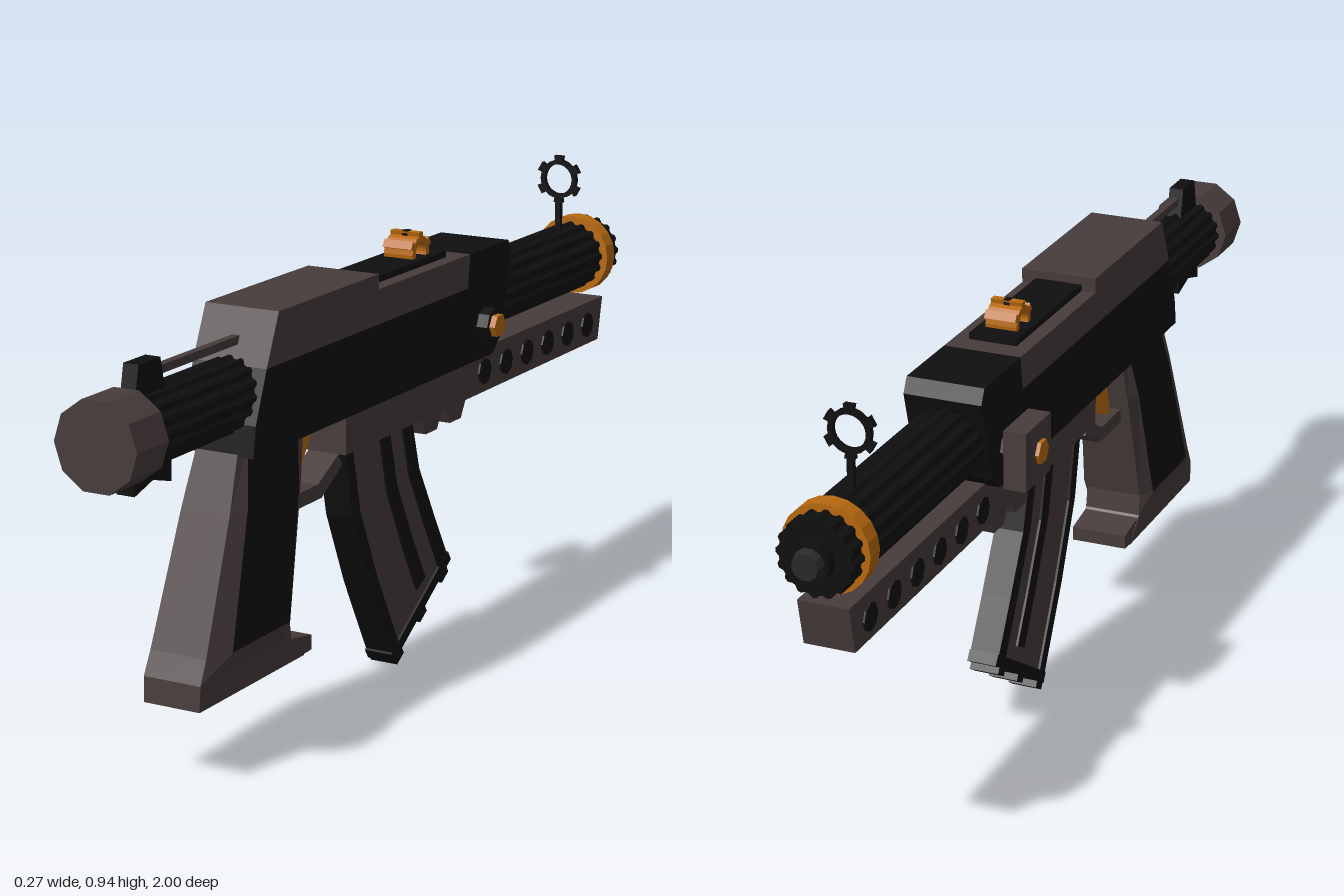
import * as THREE from 'three';

export function createModel() {
  const mat = (name, color) => new THREE.MeshStandardMaterial({ name, color, flatShading: true });
  const brown = mat('dark brown', 0x483c3c);
  const black = mat('black', 0x0e0f0e);
  const gold = mat('amber', 0xb8690f);
  const steel = mat('dark steel', 0x2a2828);

  const root = new THREE.Group();
  root.name = 'blaster';
  const gun = new THREE.Group();
  gun.name = 'blasterParts';
  gun.position.x = 0.0175; // side fittings are not symmetric
  root.add(gun);

  const AXIS = 0.705; // height of the barrel axis
  const add = (name, geo, material) => {
    const mesh = new THREE.Mesh(geo, material);
    mesh.name = name;
    gun.add(mesh);
    return mesh;
  };
  const toShape = (pts) => new THREE.Shape(pts.map(([a, b]) => new THREE.Vector2(a, b)));
  const extrude = (shape, depth) =>
    new THREE.ExtrudeGeometry(shape, { depth, bevelEnabled: false, curveSegments: 12 });

  // Side profile in [z, y], extruded across x from -half to +half
  const slab = (name, pts, half, material) =>
    add(name, extrude(toShape(pts), half * 2).rotateY(-Math.PI / 2).translate(half, 0, 0), material);
  const box = (name, x0, x1, y0, y1, z0, z1, material) =>
    add(name, new THREE.BoxGeometry(x1 - x0, y1 - y0, z1 - z0)
      .translate((x0 + x1) / 2, (y0 + y1) / 2, (z0 + z1) / 2), material);
  // Cylinder along z
  const drum = (name, r, z0, z1, sides, material, rEnd = r) =>
    add(name, new THREE.CylinderGeometry(r, rEnd, z1 - z0, sides)
      .rotateY(Math.PI / 2).rotateX(Math.PI / 2).translate(0, AXIS, (z0 + z1) / 2), material);
  // Cylinder along x
  const bolt = (name, r, x0, x1, y, z, sides, material) =>
    add(name, new THREE.CylinderGeometry(r, r, x1 - x0, sides)
      .rotateZ(Math.PI / 2).translate((x0 + x1) / 2, y, z), material);
  // Ribbed tube along z
  const ribbed = (name, r, z0, z1, material) => {
    const pts = [];
    const ribs = 16;
    for (let i = 0; i < ribs * 4; i++) {
      const a = (i / (ribs * 4)) * Math.PI * 2;
      const rad = i % 4 < 2 ? r : r * 0.92;
      pts.push([Math.cos(a) * rad, Math.sin(a) * rad]);
    }
    add(name, extrude(toShape(pts), z1 - z0).translate(0, AXIS, z0), material);
  };
  // Ring with six studs, facing z
  const studRing = (inner, outer, tip, depth) => {
    const pts = [];
    for (let i = 0; i < 6; i++) {
      const a = Math.PI / 2 + (i * Math.PI) / 3;
      for (const [da, r] of [[-0.2, outer], [-0.2, tip], [0.2, tip], [0.2, outer], [0.52, outer]])
        pts.push([Math.cos(a + da) * r, Math.sin(a + da) * r]);
    }
    const shape = toShape(pts);
    shape.holes.push(new THREE.Path().absarc(0, 0, inner, 0, Math.PI * 2, true));
    return extrude(shape, depth).translate(0, 0, -depth / 2);
  };

  // Receiver
  slab('receiver', [[0.56, 0.76], [0.6, 0.66], [0.61, 0.6], [-0.34, 0.6], [-0.377, 0.63],
    [-0.425, 0.8], [-0.41, 0.83], [-0.24, 0.83], [-0.23, 0.76]], 0.08, black);
  slab('rearCover', [[0.56, 0.76], [0.515, 0.86], [0.14, 0.86], [0.145, 0.76]], 0.08, brown);
  slab('topRails', [[0.145, 0.76], [0.145, 0.83], [-0.24, 0.83], [-0.23, 0.76]], 0.08, brown);
  box('topPanel', -0.05, 0.05, 0.82, 0.843, -0.19, 0.142, black);

  // Rear tube, cap, clamp and rod
  ribbed('rearTube', 0.071, 0.5, 0.91, black);
  drum('rearCap', 0.0875, 0.9, 1, 10, brown);
  slab('clampTop', [[0.9, 0.76], [0.885, 0.83], [0.815, 0.83], [0.8, 0.76]], 0.016, black);
  slab('clampBottom', [[0.91, 0.65], [0.91, 0.595], [0.85, 0.612], [0.79, 0.595], [0.79, 0.65]], 0.019, black);
  box('rod', -0.008, 0.008, 0.795, 0.811, 0.53, 0.82, brown);

  // Barrel and muzzle
  ribbed('barrel', 0.075, -0.89, -0.38, black);
  drum('barrelBand', 0.0875, -0.918, -0.88, 20, gold);
  ribbed('muzzle', 0.077, -0.96, -0.918, black);
  drum('muzzleRim', 0.04, -0.982, -0.95, 12, black);
  drum('muzzleTip', 0.034, -1, -0.97, 10, steel, 0.026);

  // Front and rear sights
  add('frontSightRing', studRing(0.033, 0.043, 0.053, 0.012).translate(0, 0.888, -0.81), black);
  box('frontSightPost', -0.006, 0.006, 0.76, 0.852, -0.816, -0.804, black);
  add('rearSight', studRing(0.022, 0.035, 0.044, 0.066)
    .rotateY(Math.PI / 2).translate(0, 0.85, -0.115), gold);
  box('rearSightNotch', -0.006, 0.006, 0.878, 0.895, -0.123, -0.107, black);

  // Cross bolt with its left-over side block
  bolt('crossBolt', 0.036, -0.1, 0.105, 0.672, -0.305, 8, black);
  box('sideBlock', -0.147, -0.1, 0.612, 0.732, -0.37, -0.25, brown);
  bolt('boltPin', 0.025, -0.155, 0.118, 0.672, -0.303, 6, gold);

  // Fore-end with a row of round vents
  slab('foreEnd', [[0.22, 0.605], [0.22, 0.51], [-0.915, 0.51], [-0.935, 0.605]], 0.051, brown);
  for (let i = 0; i < 6; i++)
    for (const side of [-1, 1])
      bolt('vent', 0.028, side * 0.052 - 0.003, side * 0.052 + 0.003, 0.555, -0.36 - i * 0.099, 8, black);
  for (const z of [-0.15, -0.255])
    slab('lowerLug', [[z + 0.05, 0.515], [z + 0.024, 0.47], [z - 0.024, 0.47], [z - 0.05, 0.515]], 0.04, brown);

  // Trigger and guard
  slab('trigger', [[0.345, 0.61], [0.285, 0.61], [0.29, 0.58], [0.375, 0.45], [0.38, 0.48]], 0.018, gold);
  slab('triggerGuard', [[0.42, 0.468], [0.3, 0.468], [0.22, 0.51], [0.205, 0.485],
    [0.285, 0.438], [0.42, 0.438]], 0.034, brown);

  // Grip: lofted eight-sided sections with black side panels
  // [y, rear z, panel rear z, panel front z, front z, half width at ends, half width at panel]
  const sections = [
    [0.155, 0.775, 0.74, 0.42, 0.4, 0.061, 0.061],
    [0.205, 0.772, 0.73, 0.48, 0.45, 0.062, 0.064],
    [0.25, 0.75, 0.69, 0.485, 0.455, 0.061, 0.081],
    [0.5, 0.65, 0.61, 0.425, 0.395, 0.053, 0.067],
    [0.61, 0.607, 0.58, 0.4, 0.372, 0.045, 0.05],
  ].map(([y, zr, pr, pf, zf, we, wp]) => [
    [-we, y, zr], [we, y, zr], [wp, y, pr], [wp, y, pf],
    [we, y, zf], [-we, y, zf], [-wp, y, pf], [-wp, y, pr],
  ]);
  const faces = { brown: [], black: [] };
  for (let s = 0; s < sections.length - 1; s++)
    for (let i = 0; i < 8; i++) {
      const j = (i + 1) % 8;
      const [lo, hi] = [sections[s], sections[s + 1]];
      const target = s >= 2 && (i === 2 || i === 6) ? faces.black : faces.brown;
      target.push(...lo[i], ...lo[j], ...hi[j], ...lo[i], ...hi[j], ...hi[i]);
    }
  for (let i = 1; i < 7; i++)
    faces.brown.push(...sections[0][0], ...sections[0][i + 1], ...sections[0][i]);
  const faceMesh = (name, data, material) => {
    const geo = new THREE.BufferGeometry();
    geo.setAttribute('position', new THREE.Float32BufferAttribute(data, 3));
    geo.computeVertexNormals();
    add(name, geo, material);
  };
  faceMesh('grip', faces.brown, brown);
  faceMesh('gripPanels', faces.black, black);
  slab('gripToe', [[0.48, 0.155], [0.48, 0.203], [0.44, 0.2], [0.372, 0.188], [0.372, 0.158]], 0.061, brown);

  // Curved magazine: rows of [rear point, front point]
  const rows = [
    [[0.195, 0.54], [-0.075, 0.54]],
    [[0.158, 0.364], [-0.115, 0.4]],
    [[0.088, 0.203], [-0.18, 0.283]],
    [[-0.006, 0.027], [-0.243, 0.175]],
  ];
  const mix = (a, b, t) => [a[0] + (b[0] - a[0]) * t, a[1] + (b[1] - a[1]) * t];
  const magStrip = (name, t0, t1, half, material, end = 1) => {
    const used = rows.map((r) => r.slice());
    used[3] = [mix(rows[2][0], rows[3][0], end), mix(rows[2][1], rows[3][1], end)];
    const a = used.map(([p, q]) => mix(p, q, t0));
    const b = used.map(([p, q]) => mix(p, q, t1)).reverse();
    slab(name, [...a, ...b], half, material);
  };
  magStrip('magazineBody', 0.05, 0.95, 0.026, brown);
  magStrip('magazineRearRail', 0, 0.11, 0.031, black);
  magStrip('magazineFrontRail', 0.86, 1, 0.031, black);
  magStrip('magazineStripe', 0.52, 0.66, 0.031, black, 0.75);
  const [baseRear, baseFront] = [[-0.003, 0.033], [-0.238, 0.183]];
  const down = ([z, y], d) => [z - 0.54 * d, y - 0.84 * d];
  const basePiece = (name, t0, t1, d) => {
    const [p, q] = [mix(baseRear, baseFront, t0), mix(baseRear, baseFront, t1)];
    slab(name, [p, down(p, d), down(q, d), q], 0.0312, black);
  };
  basePiece('magazineBase', -0.02, 1.02, 0.024);
  for (const t of [0.0, 0.42, 0.82]) basePiece('magazineBaseTab', t, t + 0.12, 0.038);

  return root;
}
